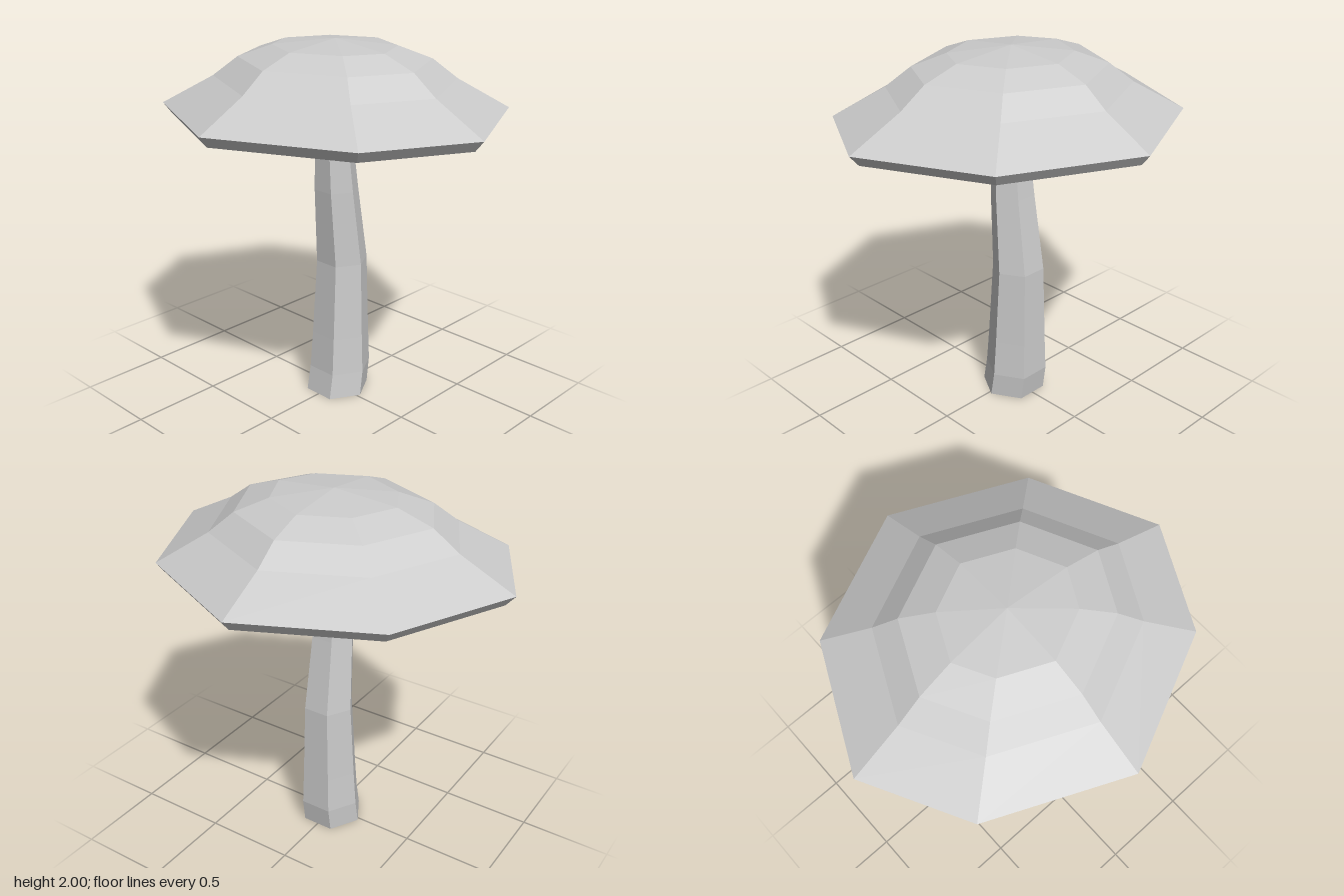
import * as THREE from 'three';

const grey = new THREE.MeshStandardMaterial({ color: 0xcccccc, flatShading: true });

// Skins rings of equal point count; the first and last ring are closed to their centres.
function loft(name, rings, startCentre, endCentre) {
  const pos = [];
  const tri = (a, b, c) => pos.push(...a, ...b, ...c);
  const n = rings[0].length;
  const last = rings[rings.length - 1];
  for (let i = 0; i < n; i++) {
    const j = (i + 1) % n;
    tri(startCentre, rings[0][j], rings[0][i]);
    for (let k = 0; k < rings.length - 1; k++) {
      const lo = rings[k], hi = rings[k + 1];
      tri(lo[i], lo[j], hi[j]);
      tri(lo[i], hi[j], hi[i]);
    }
    tri(last[i], last[j], endCentre);
  }
  const geo = new THREE.BufferGeometry();
  geo.setAttribute('position', new THREE.Float32BufferAttribute(pos, 3));
  geo.computeVertexNormals();
  const mesh = new THREE.Mesh(geo, grey);
  mesh.name = name;
  return mesh;
}

export function createModel() {
  const group = new THREE.Group();
  group.name = 'mushroom';

  // Cap: an uneven octagon scaled along a profile, from the underside round the lip to the crown
  const half = [[0.70, 0.58], [0.98, 0.05], [0.675, -0.59]];
  const outline = [
    [0, 0.895], ...half, [0, -0.9],
    ...half.map(([x, z]) => [-x, z]).reverse(),
  ];
  const profile = [
    [0.11, 1.512], [0.62, 1.575], [0.91, 1.617], // gills
    [0.95, 1.595], [1, 1.652],                   // lip and rim
    [0.7, 1.8], [0.555, 1.9], [0.357, 1.965],    // dome
  ];
  const capRings = profile.map(([s, y]) => outline.map(([x, z]) => [x * s, y, z * s]));
  group.add(loft('cap', capRings, [0, 1.51, 0], [0, 2, 0]));

  // Stem: a tapering hexagon that bends back in the middle; [y, radius, centre z]
  const stem = [
    [0, 0.178, -0.018], [0.14, 0.175, -0.04], [0.35, 0.163, -0.045],
    [0.78, 0.143, -0.054], [1.2, 0.121, -0.01], [1.53, 0.1, 0.013],
  ];
  const stemRings = stem.map(([y, r, cz]) => Array.from({ length: 6 }, (_, i) => {
    const a = Math.PI / 6 + (i * Math.PI) / 3;
    return [r * Math.sin(a), y, cz + r * Math.cos(a)];
  }));
  group.add(loft('stem', stemRings, [0, 0, -0.018], [0, 1.53, 0.013]));

  return group;
}
